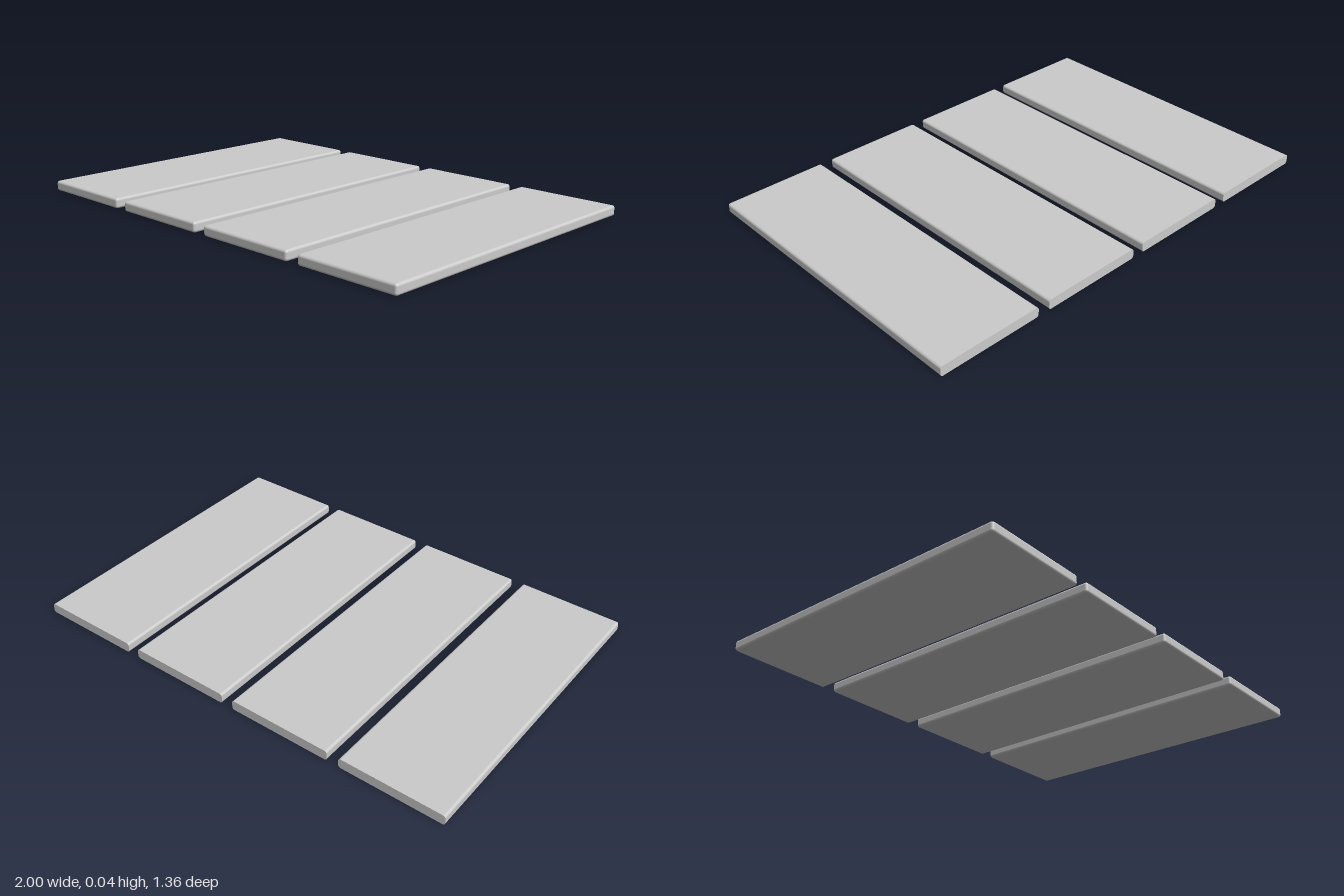
import * as THREE from 'three';
import { RoundedBoxGeometry } from 'three/addons/geometries/RoundedBoxGeometry.js';

const COUNT = 4, WIDTH = 0.46, HEIGHT = 0.044, LENGTH = 1.36, RADIUS = 0.011;

// Board with softened edges all round, except for a square-cut back end
function boardGeometry() {
  const geo = new RoundedBoxGeometry(WIDTH, HEIGHT, LENGTH + RADIUS, 3, RADIUS);
  geo.translate(0, HEIGHT / 2, -RADIUS / 2);
  const pos = geo.attributes.position, normal = geo.attributes.normal;
  const back = -LENGTH / 2;
  for (let i = 0; i < pos.count; i += 3) {
    // flatten the rounded back onto the cut plane
    let onCut = 0;
    for (let j = i; j < i + 3; j++) {
      if (pos.getZ(j) < back + 1e-4) {
        pos.setZ(j, back);
        onCut++;
      }
    }
    for (let j = i; j < i + 3 && onCut === 3; j++) normal.setXYZ(j, 0, 0, -1);
  }
  return geo;
}

export function createModel() {
  const model = new THREE.Group();
  model.name = 'boards';
  const material = new THREE.MeshStandardMaterial({ color: 0xcccccc });
  const geo = boardGeometry();
  const pitch = (2 - WIDTH) / (COUNT - 1);

  // Evenly spaced row of boards
  for (let i = 0; i < COUNT; i++) {
    const board = new THREE.Mesh(geo, material);
    board.name = `board${i + 1}`;
    board.position.x = -1 + WIDTH / 2 + i * pitch;
    model.add(board);
  }
  return model;
}
